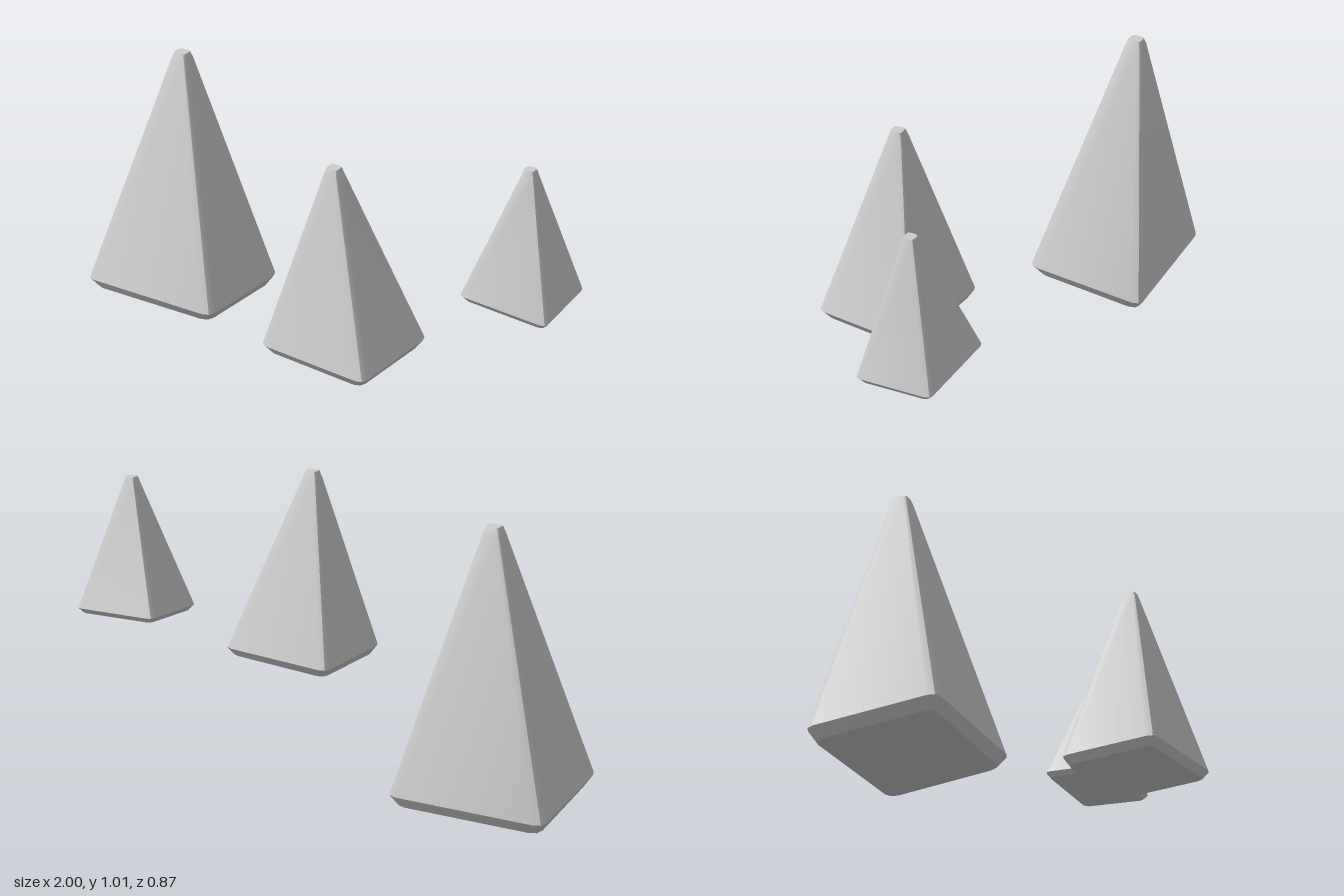
import * as THREE from 'three';
import { toCreasedNormals } from 'three/addons/utils/BufferGeometryUtils.js';

const V = (x, y, z) => new THREE.Vector3(x, y, z);

// Cut each of four corners into three points to soften the upright edges
function roundedRing(corners, radius) {
  const ring = [];
  corners.forEach((p, i) => {
    const toPrev = corners[(i + 3) % 4].clone().sub(p).normalize();
    const toNext = corners[(i + 1) % 4].clone().sub(p).normalize();
    ring.push(p.clone().addScaledVector(toPrev, radius));
    ring.push(p.clone().addScaledVector(toPrev.clone().add(toNext), radius * 0.28));
    ring.push(p.clone().addScaledVector(toNext, radius));
  });
  return ring;
}

// Skin a stack of equal rings and close both ends
function loft(rings) {
  const n = rings[0].length;
  const points = rings.flat();
  const index = [];
  for (let i = 0; i < rings.length - 1; i++) {
    for (let j = 0; j < n; j++) {
      const a = i * n + j, b = i * n + (j + 1) % n;
      index.push(a, a + n, b, b, a + n, b + n);
    }
  }
  const addCap = (ring, start, up) => {
    const centre = ring.reduce((sum, p) => sum.add(p), V(0, 0, 0)).divideScalar(n);
    const c = points.push(centre) - 1;
    for (let j = 0; j < n; j++) {
      const a = start + j, b = start + (j + 1) % n;
      index.push(c, up ? b : a, up ? a : b);
    }
  };
  addCap(rings[0], 0, false);
  addCap(rings[rings.length - 1], (rings.length - 1) * n, true);
  const geometry = new THREE.BufferGeometry().setFromPoints(points);
  geometry.setIndex(index);
  return toCreasedNormals(geometry, THREE.MathUtils.degToRad(32));
}

// Blunt pyramid: bevelled foot, straight sides, small flat tip
function spikeGeometry({ base, rim, tiltX, tiltZ, bevel, inset, round, tip, tipHalf }) {
  const cx = base.reduce((s, p) => s + p[0], 0) / 4;
  const cz = base.reduce((s, p) => s + p[1], 0) / 4;
  const foot = base.map(([x, z]) => V(x, rim + tiltX * (x - cx) + tiltZ * (z - cz), z));
  const pulledIn = (amount, drop) => foot.map(p =>
    V(p.x - Math.sign(p.x - cx) * amount, p.y - drop, p.z - Math.sign(p.z - cz) * amount));
  const tipSquare = (half, y) => [[-1, -1], [1, -1], [1, 1], [-1, 1]].map(([sx, sz]) =>
    V(tip[0] + sx * half, y, tip[2] + sz * half));
  return loft([
    roundedRing(pulledIn(inset, bevel), round),
    roundedRing(foot, round),
    roundedRing(tipSquare(tipHalf * 1.35, tip[1] - 0.025), tipHalf * 0.55),
    roundedRing(tipSquare(tipHalf, tip[1]), tipHalf * 0.5),
  ]);
}

// Base corners run back right, back left, front left, front right as [x, z]
const spikes = [
  {
    name: 'largeSpike',
    base: [[-1, -0.425], [-0.405, -0.437], [-0.405, 0.045], [-0.99, 0.065]],
    rim: 0.062, tiltX: 0.005, tiltZ: 0.075, bevel: 0.042, inset: 0.025, round: 0.035,
    tip: [-0.71, 1.015, -0.24], tipHalf: 0.025,
  },
  {
    name: 'mediumSpike',
    base: [[0.09, 0.005], [0.552, 0.03], [0.525, 0.435], [0.063, 0.39]],
    rim: 0.3, tiltX: 0.035, tiltZ: 0.02, bevel: 0.032, inset: 0.02, round: 0.03,
    tip: [0.27, 0.995, 0.225], tipHalf: 0.022,
  },
  {
    name: 'smallSpike',
    base: [[0.648, -0.32], [0.998, -0.307], [0.995, -0.012], [0.642, -0.022]],
    rim: 0.483, tiltX: -0.03, tiltZ: -0.06, bevel: 0.02, inset: 0.014, round: 0.022,
    tip: [0.835, 0.985, -0.15], tipHalf: 0.019,
  },
];

export function createModel() {
  const stone = new THREE.MeshStandardMaterial({ color: 0xcccccc });
  stone.name = 'paleGreyStone';
  const model = new THREE.Group();
  model.name = 'stoneSpikes';
  for (const spike of spikes) {
    const mesh = new THREE.Mesh(spikeGeometry(spike), stone);
    mesh.name = spike.name;
    model.add(mesh);
  }
  return model;
}
